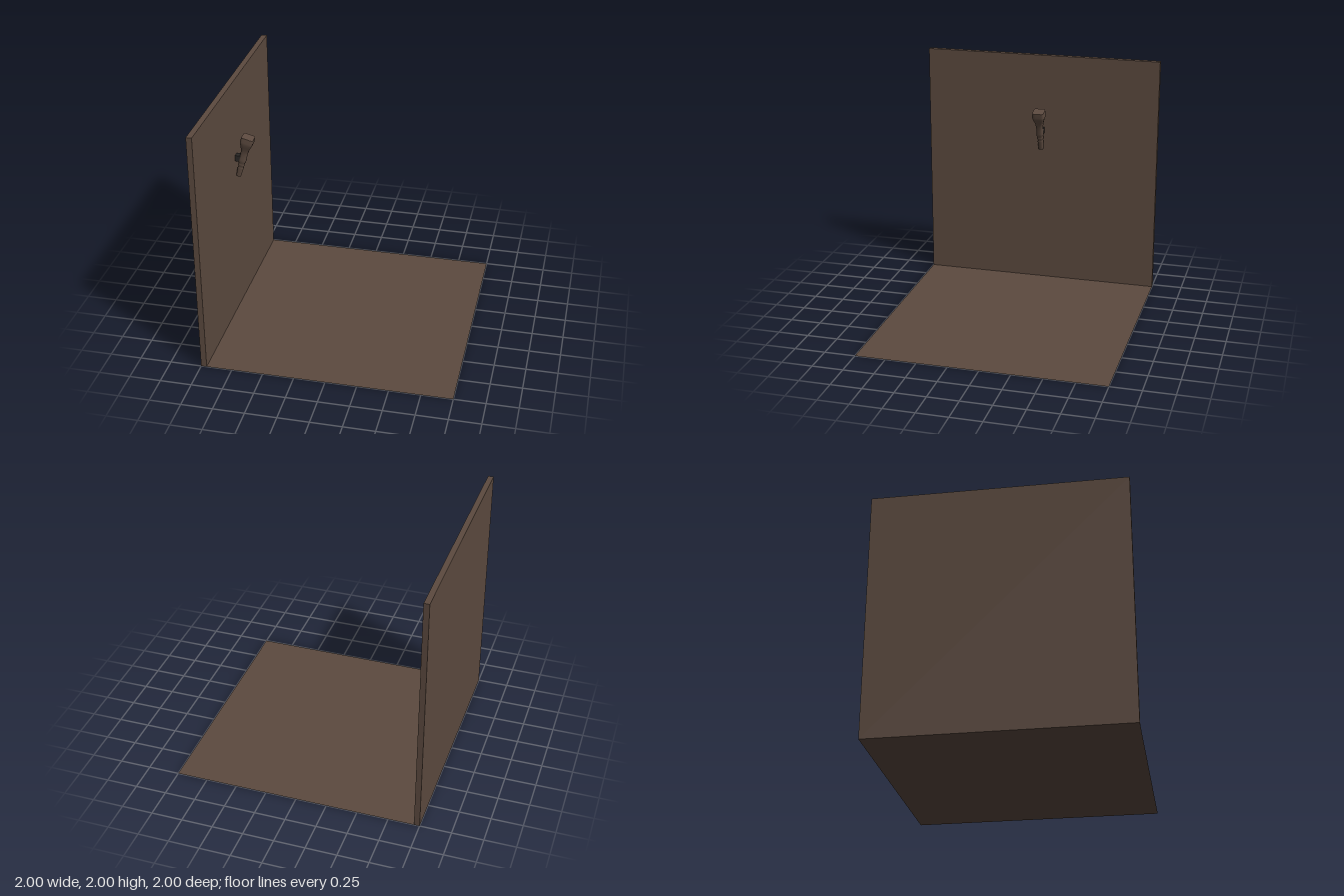
import * as THREE from 'three';

const SEG = 32;

// Loft of rounded-square rings: [height, half width, squareness exponent]
function loft(rings) {
  const pos = [], index = [];
  for (const [y, r, n] of rings) {
    for (let i = 0; i < SEG; i++) {
      const a = (i / SEG) * Math.PI * 2, c = Math.cos(a), s = Math.sin(a);
      const k = r / Math.pow(Math.abs(c) ** n + Math.abs(s) ** n, 1 / n);
      pos.push(c * k, y, s * k);
    }
  }
  for (let j = 0; j < rings.length - 1; j++) {
    for (let i = 0; i < SEG; i++) {
      const a = j * SEG + i, b = j * SEG + (i + 1) % SEG;
      index.push(a, a + SEG, b, b, a + SEG, b + SEG);
    }
  }
  const geo = new THREE.BufferGeometry();
  geo.setAttribute('position', new THREE.Float32BufferAttribute(pos, 3));
  geo.setIndex(index);
  geo.computeVertexNormals();
  return geo;
}

export function createModel() {
  const group = new THREE.Group();
  const wood = new THREE.MeshStandardMaterial({ color: 0x5c4a3f, side: THREE.DoubleSide });
  wood.name = 'brown wood';
  const iron = new THREE.MeshStandardMaterial({ color: 0x2b2826 });
  iron.name = 'dark iron';

  const add = (name, geo, mat, x, y, z) => {
    const mesh = new THREE.Mesh(geo, mat);
    mesh.name = name;
    mesh.position.set(x, y, z);
    group.add(mesh);
    return mesh;
  };

  // Thin floor sheet and upright wall
  add('floor', new THREE.PlaneGeometry(2, 2).rotateX(-Math.PI / 2), wood, 0, 0, 0);
  add('wall', new THREE.BoxGeometry(0.045, 2, 2), wood, -0.9775, 1, 0);

  // Bracket from the wall to the torch
  add('wallBracket', new THREE.BoxGeometry(0.055, 0.05, 0.05), iron, -0.9275, 1.35, 0);

  // Leaning torch: grooved handle flaring to a square head; doubled rings keep the ends sharp
  const torch = add('torch', loft([
    [0, 0, 2], [0, 0.019, 3], [0, 0.019, 3],
    [0.075, 0.024, 3], [0.082, 0.021, 3], [0.095, 0.021, 3],
    [0.102, 0.026, 3], [0.115, 0.026, 3], [0.122, 0.023, 3],
    [0.135, 0.029, 3], [0.155, 0.03, 3], [0.185, 0.028, 3],
    [0.22, 0.029, 3], [0.25, 0.033, 3.5], [0.28, 0.042, 4],
    [0.305, 0.049, 6], [0.325, 0.051, 8], [0.363, 0.048, 10],
    [0.363, 0.048, 10], [0.363, 0, 10],
  ]), wood, -0.938, 1.187, 0);
  torch.rotation.z = -0.26;

  return group;
}
